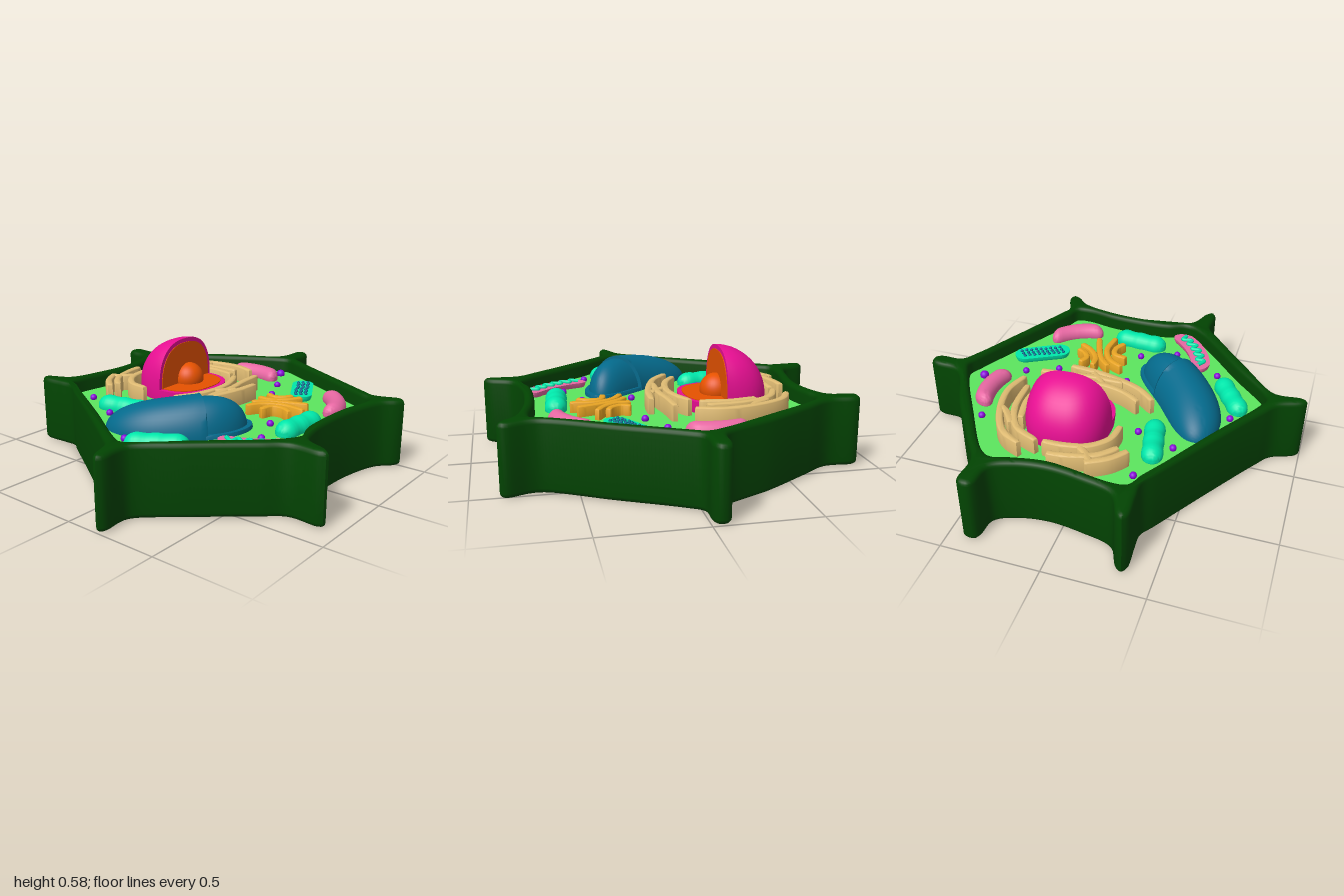
import * as THREE from 'three';
import { toCreasedNormals } from 'three/addons/utils/BufferGeometryUtils.js';

const FLOOR = 0.28;
const mat = (name, color) => new THREE.MeshStandardMaterial({ name, color });
const M = {
  wall: mat('dark green', 0x024402), cytoplasm: mat('light green', 0x5ce65e),
  vacuole: mat('deep blue', 0x046a8c), nucleus: mat('magenta', 0xf01098),
  core: mat('orange', 0xe65200), reticulum: mat('tan', 0xdeba72),
  golgi: mat('gold', 0xe8a424), chloroplast: mat('teal', 0x00ecae),
  mitochondrion: mat('rose', 0xec6aa6), vesicle: mat('purple', 0x8a08dc),
};

function mesh(name, geometry, material, parent) {
  const m = new THREE.Mesh(geometry, material);
  m.name = name;
  parent.add(m);
  return m;
}

// Move every vertex by a rule, then rebuild the normals
function deform(geo, rule) {
  const p = geo.attributes.position, v = new THREE.Vector3();
  for (let i = 0; i < p.count; i++) {
    v.fromBufferAttribute(p, i);
    rule(v);
    p.setXYZ(i, v.x, v.y, v.z);
  }
  return toCreasedNormals(geo, 0.7);
}

// Closed smooth outline through [x, z] points
function outline(points, n = 260) {
  const c = new THREE.CatmullRomCurve3(points.map(([x, z]) => new THREE.Vector3(x, z, 0)), true, 'centripetal');
  return c.getSpacedPoints(n).slice(0, n).map((p) => new THREE.Vector2(p.x, p.y));
}

// Extrude a plan shape between two heights with a rounded edge
function slab(shape, y0, y1, bevel) {
  const geo = new THREE.ExtrudeGeometry(shape, {
    depth: y1 - y0 - 2 * bevel, bevelEnabled: bevel > 0, bevelThickness: bevel,
    bevelSize: bevel, bevelOffset: -bevel, bevelSegments: 4,
  });
  geo.rotateX(Math.PI / 2).translate(0, y1 - bevel, 0);
  return toCreasedNormals(geo, 0.7);
}

// Upright folded sheet following a curve, narrowing at its ends
function sheet(points, width, top) {
  const c = new THREE.CatmullRomCurve3(points.map(([x, z]) => new THREE.Vector3(x, z, 0)));
  const left = [], right = [], n = 28;
  for (let i = 0; i <= n; i++) {
    const t = i / n, p = c.getPointAt(t), d = c.getTangentAt(t);
    const h = width / 2 * (0.65 + 0.35 * Math.sqrt(1 - Math.pow(Math.abs(2 * t - 1), 8)));
    left.push(new THREE.Vector2(p.x - d.y * h, p.y + d.x * h));
    right.push(new THREE.Vector2(p.x + d.y * h, p.y - d.x * h));
  }
  return slab(new THREE.Shape(left.concat(right.reverse())), FLOOR - 0.02, top, width * 0.31);
}

// Bean lying on the floor from a to b; optional bend, ripples and flat cut
function bean(name, a, b, r, material, parent, { bend = 0, ripple = 0, cut = false } = {}) {
  const g = new THREE.Group();
  g.name = name;
  const dx = b[0] - a[0], dz = b[1] - a[1], half = Math.hypot(dx, dz) / 2;
  const geo = new THREE.CapsuleGeometry(r, 2 * (half - r), 10, 24, 24).rotateZ(Math.PI / 2);
  mesh(name + 'Body', deform(geo, (v) => {
    const k = 1 + ripple * Math.cos(v.x / half * 11);
    v.y *= k;
    v.z = v.z * k + bend * (1 - (v.x / half) ** 2);
    if (cut) v.y = Math.min(v.y, 0);
  }), material, g);
  g.position.set((a[0] + b[0]) / 2, FLOOR + (cut ? 0.028 : 0.014), (a[1] + b[1]) / 2);
  g.rotation.y = Math.atan2(-dz, dx);
  parent.add(g);
  return { g, half };
}

function buildWall(root) {
  const outer = [
    [-0.37, -0.66], [-0.37, -0.75], [-0.373, -0.87], [-0.35, -0.902], [-0.32, -0.885], [-0.26, -0.775],
    [-0.1, -0.73], [0.08, -0.71], [0.23, -0.735], [0.325, -0.785], [0.342, -0.89], [0.362, -0.92], [0.412, -0.918], [0.43, -0.89],
    [0.43, -0.75], [0.52, -0.61], [0.68, -0.37], [0.81, -0.13], [0.86, -0.1], [0.965, -0.092], [0.995, -0.075], [0.998, -0.03],
    [0.965, -0.008], [0.85, 0], [0.8, 0.07], [0.65, 0.36], [0.49, 0.66], [0.49, 0.72], [0.525, 0.83], [0.505, 0.86],
    [0.465, 0.845], [0.4, 0.785], [0.22, 0.735], [0.03, 0.72], [-0.14, 0.73], [-0.26, 0.775],
    [-0.315, 0.89], [-0.35, 0.92], [-0.373, 0.89], [-0.375, 0.74], [-0.45, 0.64], [-0.65, 0.4], [-0.82, 0.21],
    [-0.87, 0.2], [-0.97, 0.207], [-0.999, 0.185], [-0.98, 0.155], [-0.86, 0.1], [-0.8, 0.02], [-0.6, -0.29], [-0.42, -0.58],
  ];
  const inner = [
    [-0.34, -0.64], [-0.31, -0.69], [-0.24, -0.7], [0.08, -0.655], [0.27, -0.685], [0.35, -0.705], [0.41, -0.67], [0.6, -0.38],
    [0.77, -0.09], [0.79, -0.03], [0.76, 0.04], [0.6, 0.36], [0.46, 0.63], [0.43, 0.7], [0.36, 0.71], [0.2, 0.68],
    [0.03, 0.67], [-0.14, 0.68], [-0.25, 0.715], [-0.33, 0.67], [-0.42, 0.58], [-0.6, 0.37], [-0.77, 0.19],
    [-0.795, 0.14], [-0.76, 0.06], [-0.58, -0.23],
  ];
  const shape = new THREE.Shape(outline(outer, 400));
  shape.holes.push(new THREE.Path(outline(inner)));
  mesh('cellWall', slab(shape, 0.003, 0.363, 0.025), M.wall, root);
  const fill = inner.map(([x, z]) => [x * 1.025, z * 1.025]);
  mesh('cytoplasm', slab(new THREE.Shape(outline(fill)), 0.035, FLOOR, 0), M.cytoplasm, root);
}

function buildNucleus(root) {
  const g = new THREE.Group();
  g.name = 'nucleus';
  g.position.set(0.113, 0.34, -0.26);
  root.add(g);
  // Squarish ball with one quarter cut away, clamped flat on one axis
  const part = (name, axis, k, lift, material) => {
    const m = mesh(name, deform(new THREE.SphereGeometry(1, 48, 32), (v) => {
      const n = Math.pow(Math.abs(v.x) ** 2.5 + (v.y * v.y + v.z * v.z) ** 1.25, 1 / 2.5);
      v.divideScalar(n).multiply(new THREE.Vector3(0.214, 0.245, v.z > 0 ? 0.2 : 0.24)).multiplyScalar(k);
      v[axis] = Math.min(v[axis], 0);
    }), material, g);
    m.position[axis] = lift;
  };
  part('nucleusDome', 'z', 1, 0, M.nucleus);
  part('nucleusBase', 'y', 1, 0, M.nucleus);
  part('domeCutFace', 'z', 0.91, 0.004, M.core);
  part('baseCutFace', 'y', 0.88, 0.004, M.core);
  mesh('nucleolus', new THREE.SphereGeometry(0.083, 32, 24), M.core, g).position.set(0.015, 0.023, 0.01);
}

function buildVacuole(root) {
  const g = new THREE.Group();
  g.name = 'vacuole';
  g.position.set(-0.352, 0.27, 0.09);
  g.rotation.y = Math.atan2(-0.8, 0.6);
  root.add(g);
  // Blunt bean, higher toward one end, cut by a slanted end plane and a top plane
  const part = (name, k, endX, topY) => mesh(name, deform(new THREE.SphereGeometry(1, 48, 40).rotateZ(Math.PI / 2), (v) => {
    const x = v.x, r = Math.max(Math.sqrt(Math.max(0, 1 - x * x)), 1e-4);
    const s = Math.sqrt(Math.max(0, 1 - Math.abs(x) ** 3)) / r;
    const z = v.z * s * 0.147 * (1.5 * k - 0.5) + 0.06 * (1 - x * x) - 0.025;
    v.set(Math.min(x * 0.36 * k, endX + 0.3 * z), Math.min(v.y * s * 0.178 * (1 + 0.28 * x) * k, topY), z);
  }), M.vacuole, g);
  part('vacuoleShell', 1, 0.1, 1);
  part('vacuoleRim', 1, 1, 0.03);
  part('vacuoleContents', 0.93, 1, 1);
}

export function createModel() {
  const root = new THREE.Group();
  root.name = 'plantCell';
  buildWall(root);
  buildNucleus(root);
  buildVacuole(root);

  // Folded sheets around the nucleus
  [
    [[-0.25, -0.48], [-0.18, -0.56], [-0.08, -0.62]],
    [[-0.2, -0.47], [-0.12, -0.55], [0, -0.595], [0.11, -0.61]],
    [[-0.16, -0.31], [-0.14, -0.42], [-0.06, -0.5], [0.05, -0.53], [0.16, -0.535]],
    [[-0.1, -0.61], [-0.07, -0.56], [-0.02, -0.52]],
    [[0.26, -0.585], [0.37, -0.52], [0.45, -0.38], [0.485, -0.2], [0.45, -0.06]],
    [[0.19, -0.54], [0.32, -0.47], [0.39, -0.33], [0.405, -0.13]],
    [[0.33, -0.4], [0.355, -0.25], [0.335, -0.11]],
    [[0.36, -0.45], [0.41, -0.38], [0.46, -0.34]],
    [[-0.25, -0.06], [-0.15, 0.02], [0, 0.075], [0.12, 0.1], [0.25, 0.11]],
    [[-0.18, -0.09], [-0.08, -0.03], [0.08, 0], [0.2, -0.02], [0.31, -0.07]],
    [[-0.06, 0.045], [0.12, 0.05], [0.25, 0.03], [0.39, 0.02]],
    [[0.04, 0], [0.07, 0.04], [0.12, 0.09]],
  ].forEach((p) => mesh('reticulumSheet', sheet(p, 0.038, 0.366), M.reticulum, root));

  // Stacked golgi folds
  [
    [[0.01, 0.32], [0.08, 0.34], [0.09, 0.4], [0.06, 0.46]],
    [[0.01, 0.23], [0.09, 0.28], [0.135, 0.37], [0.125, 0.5]],
    [[0.08, 0.215], [0.14, 0.28], [0.18, 0.37], [0.215, 0.47]],
    [[0.165, 0.2], [0.17, 0.27], [0.22, 0.34], [0.29, 0.385]],
    [[0.24, 0.21], [0.22, 0.26], [0.25, 0.31], [0.29, 0.33]],
  ].forEach((p) => mesh('golgiFold', sheet(p, 0.034, 0.335), M.golgi, root));

  // Whole chloroplasts and a cut one with grains
  const ripple = { ripple: 0.035 };
  bean('chloroplast', [-0.355, -0.45], [-0.295, -0.15], 0.052, M.chloroplast, root, ripple);
  bean('chloroplast', [-0.69, 0.05], [-0.53, 0.31], 0.052, M.chloroplast, root, ripple);
  bean('chloroplast', [-0.16, 0.545], [0.14, 0.57], 0.054, M.chloroplast, root, ripple);
  const open = bean('cutChloroplast', [0.35, 0.34], [0.62, 0.19], 0.058, M.chloroplast, root, { cut: true });
  for (let i = -4; i <= 4; i++) for (let j = -1; j <= 1; j++) {
    mesh('grain', new THREE.SphereGeometry(0.009, 10, 8), M.vacuole, open.g)
      .position.set(i * 0.027 + j * 0.006, 0.002, j * 0.026 + (i % 2) * 0.005);
  }

  // Whole mitochondria and a cut one with its inner fold
  bean('mitochondrion', [0.595, -0.28], [0.59, 0.02], 0.05, M.mitochondrion, root, { bend: -0.035 });
  bean('mitochondrion', [0.23, 0.585], [0.49, 0.43], 0.05, M.mitochondrion, root, { bend: 0.04 });
  const cutM = bean('cutMitochondrion', [-0.405, 0.37], [-0.2, 0.69], 0.054, M.mitochondrion, root, { bend: 0.04, cut: true });
  const fold = [];
  for (let i = 0; i <= 11; i++) {
    const x = -0.15 + i * 0.0273;
    fold.push(new THREE.Vector3(x, 0.004, 0.04 * (1 - (x / cutM.half) ** 2) + (i % 2 ? 0.02 : -0.02)));
  }
  mesh('innerFold', new THREE.TubeGeometry(new THREE.CatmullRomCurve3(fold), 120, 0.011, 8), M.chloroplast, cutM.g);

  // Scattered vesicles
  [
    [-0.3, -0.56], [-0.425, -0.31], [-0.23, -0.24], [0.565, -0.36], [0.71, -0.025, 0.024], [0.51, 0.085],
    [0.345, 0.16], [-0.045, 0.16], [-0.05, 0.42], [-0.24, 0.5], [-0.5, 0.36], [-0.64, 0.005],
  ].forEach(([x, z, r = 0.018]) => mesh('vesicle', new THREE.SphereGeometry(r, 16, 12), M.vesicle, root).position.set(x, FLOOR + 0.01, z));
  return root;
}
